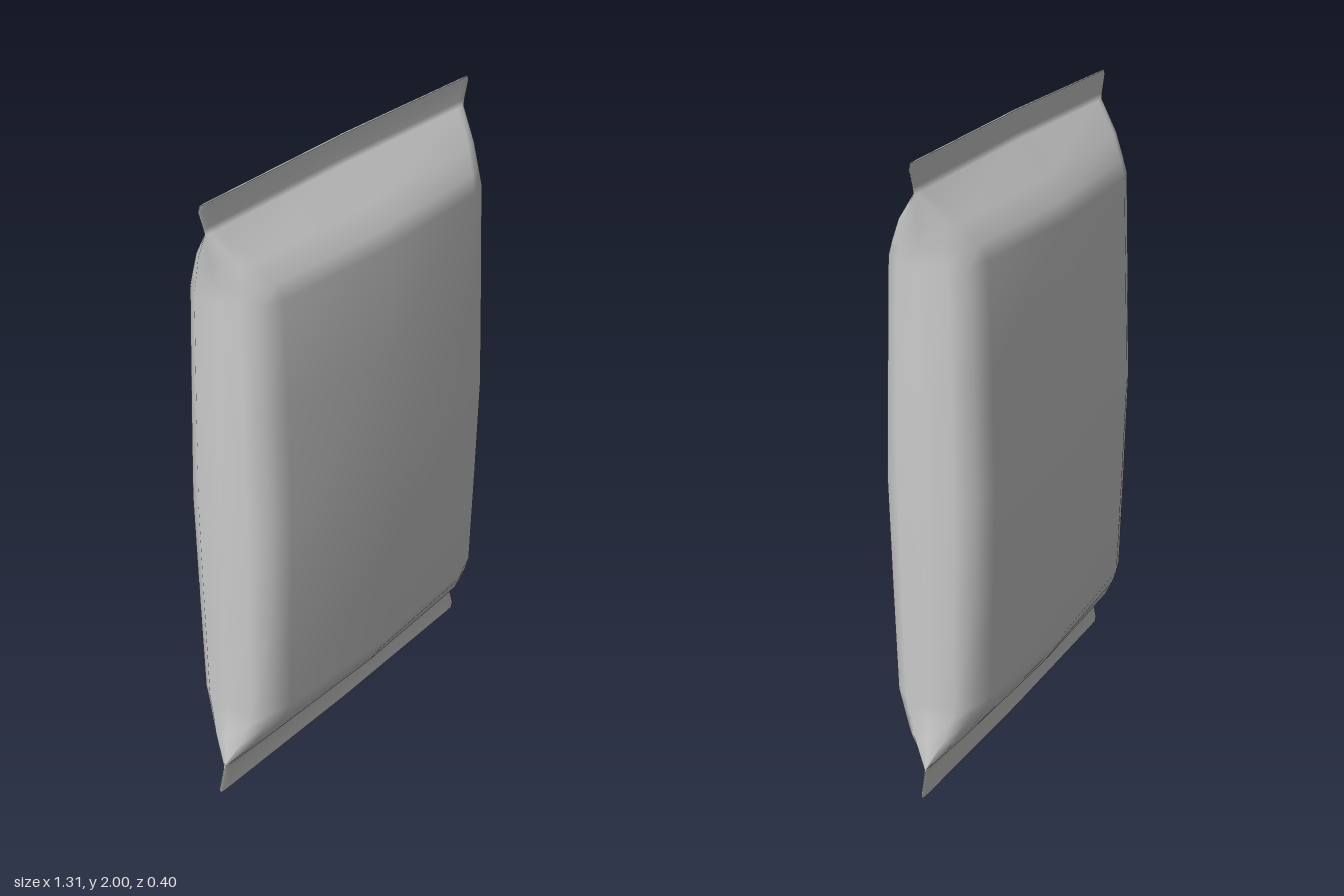
import * as THREE from 'three';

// Half of the rows, from the middle up: [height above centre, half width, half depth, flare of the shoulder]
const HALF_ROWS = [
  [0, 0.605, 0.2, 0],
  [0.35, 0.603, 0.188, 0],
  [0.69, 0.6, 0.175, 0],
  [0.74, 0.601, 0.152, 0.12],
  [0.81, 0.612, 0.106, 0.4],
  [0.91, 0.63, 0.007, 0.85],
  [0.93, 0.636, 0.004, 0.85],
  [0.985, 0.655, 0.004, 0.85],
  [1.0, 0.649, 0.004, 0.85],
];

// Half cross-section from the side seam to the middle: [x fraction, z fraction]
const SECTION = [[1, 0], [0.983, 0.46], [0.92, 0.73], [0.8, 0.855], [0, 1]];

// Closed ring of points: front from right to left, then the back in return
function makeRing([h, halfWidth, halfDepth, flare], sign) {
  const front = [
    ...SECTION.map(([x, z]) => [-x, z]),
    ...SECTION.slice(0, -1).reverse(),
  ].map(([fx, fz]) => {
    const x = Math.sign(fx) * THREE.MathUtils.lerp(Math.abs(fx), fx ? 1 : 0, flare * 0.8) * halfWidth;
    const sag = h > 0.9 ? 0.013 * Math.abs(x) : 0;
    return [x, 1 + sign * (h - sag), fz * halfDepth];
  });
  const back = front.slice(1, -1).reverse().map(([x, y, z]) => [x, y, -z]);
  return [...front, ...back];
}

function makeGeometry(points, index) {
  const geometry = new THREE.BufferGeometry();
  geometry.setAttribute('position', new THREE.Float32BufferAttribute(points.flat(), 3));
  geometry.setIndex(index);
  geometry.computeVertexNormals();
  return geometry;
}

// Smooth skin through all rings
function skin(rings) {
  const n = rings[0].length;
  const index = [];
  for (let r = 0; r < rings.length - 1; r++) {
    for (let i = 0; i < n; i++) {
      const j = (i + 1) % n;
      const a = r * n + i, b = r * n + j, c = b + n, d = a + n;
      index.push(a, b, c, a, c, d);
    }
  }
  return makeGeometry(rings.flat(), index);
}

// Thin strip closing the end of a seal
function cap(ring, up) {
  const n = ring.length;
  const index = [];
  for (let i = 0; i < n / 2; i++) {
    const a = i, b = i + 1, c = n - i - 1, d = (n - i) % n;
    const tris = [[a, b, c], [a, c, d]].filter((t) => new Set(t).size === 3);
    tris.forEach(([p, q, s]) => index.push(...(up ? [p, q, s] : [p, s, q])));
  }
  return makeGeometry(ring, index);
}

export function createModel() {
  const group = new THREE.Group();
  group.name = 'pouch';
  const material = new THREE.MeshStandardMaterial({ color: 0xcccccc });
  const add = (name, geometry) => {
    const mesh = new THREE.Mesh(geometry, material);
    mesh.name = name;
    group.add(mesh);
  };

  // Mirror the upper rows to get the full stack, bottom to top
  const rings = [
    ...HALF_ROWS.slice(1).reverse().map((row) => makeRing(row, -1)),
    ...HALF_ROWS.map((row) => makeRing(row, 1)),
  ];
  add('pouchBody', skin(rings));
  add('topSealEdge', cap(rings[rings.length - 1], true));
  add('bottomSealEdge', cap(rings[0], false));
  return group;
}
